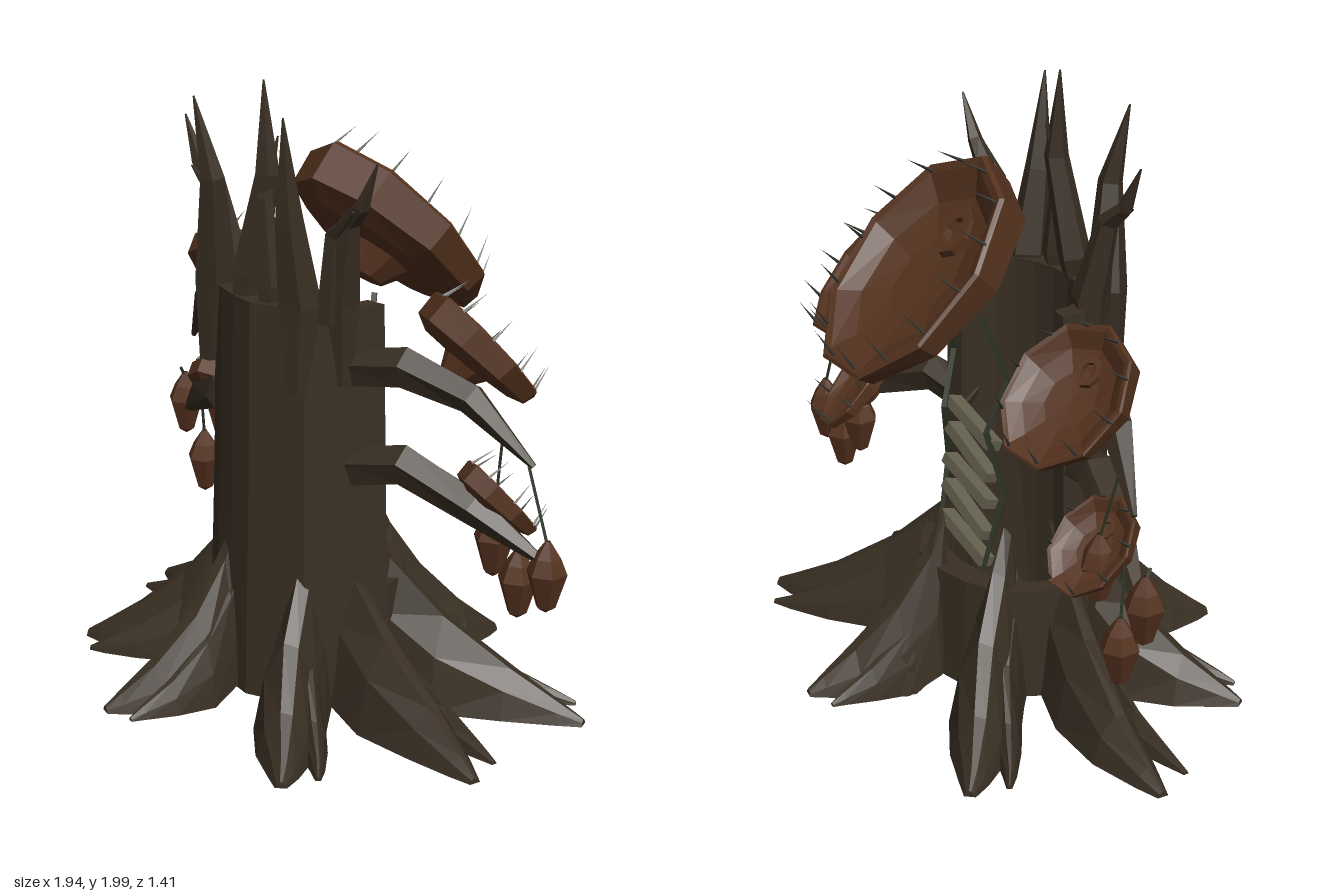
import * as THREE from 'three';

const mat = (name, color, side = THREE.FrontSide) => {
  const m = new THREE.MeshStandardMaterial({ color, flatShading: true, side });
  m.name = name;
  return m;
};

export function createModel() {
  const model = new THREE.Group();
  model.name = 'carnivorousStump';
  const bark = mat('bark', 0x392f23, THREE.DoubleSide);
  const petal = mat('petal brown', 0x53311d, THREE.DoubleSide);
  const vine = mat('vine green', 0x2c3424);
  const thorn = mat('thorn grey', 0x3b3a33);
  const slat = mat('weathered slat', 0x65624f);
  const V = (x, y, z) => new THREE.Vector3(x, y, z);

  const add = (geo, material, name, parent = model) => {
    const m = new THREE.Mesh(geo, material);
    m.name = name;
    parent.add(m);
    return m;
  };

  // Skin a list of equal-length closed rings, closing both ends
  function loft(rings) {
    const n = rings[0].length, pos = [], idx = [];
    rings.forEach(r => r.forEach(p => pos.push(p.x, p.y, p.z)));
    for (let i = 0; i < rings.length - 1; i++) for (let j = 0; j < n; j++) {
      const a = i * n + j, b = i * n + (j + 1) % n;
      idx.push(a, b, b + n, a, b + n, a + n);
    }
    const last = (rings.length - 1) * n;
    for (let j = 1; j < n - 1; j++) idx.push(0, j + 1, j, last, last + j, last + j + 1);
    const g = new THREE.BufferGeometry();
    g.setAttribute('position', new THREE.Float32BufferAttribute(pos, 3));
    g.setIndex(idx);
    g.computeVertexNormals();
    return g;
  }

  // Tapered limb through [x, y, z, radius] points
  function limb(pts, sides = 5) {
    const c = pts.map(p => V(p[0], p[1], p[2]));
    return loft(c.map((p, i) => {
      const t = c[Math.min(i + 1, c.length - 1)].clone().sub(c[Math.max(i - 1, 0)]).normalize();
      const u = V(0, 0, 1).cross(t).normalize(), w = t.clone().cross(u);
      return Array.from({ length: sides }, (_, j) => {
        const a = j / sides * Math.PI * 2;
        return p.clone().addScaledVector(u, Math.cos(a) * pts[i][3]).addScaledVector(w, Math.sin(a) * pts[i][3]);
      });
    }));
  }

  // Wall with a curved plan, extruded upward and flared toward the ground
  function wall(from, to, segs, y0, y1, name) {
    const out = [], inn = [];
    for (let i = 0; i <= segs; i++) {
      const a = from + (to - from) * i / segs, k = 1 + 0.03 * Math.sin(i * 2.4);
      out.push(new THREE.Vector2(Math.sin(a) * 0.32 * k, -Math.cos(a) * 0.275 * k));
      inn.unshift(new THREE.Vector2(Math.sin(a) * 0.26, -Math.cos(a) * 0.19));
    }
    const g = new THREE.ExtrudeGeometry(new THREE.Shape([...out, ...inn]), { depth: y1 - y0, steps: 5, bevelEnabled: false });
    g.rotateX(-Math.PI / 2).translate(0, y0, 0);
    const p = g.attributes.position;
    for (let i = 0; i < p.count; i++) {
      const y = p.getY(i), s = y < 0.7 ? 1.03 + (0.7 - y) * 0.12 : 1.03 - (y - 0.7) * 0.07;
      p.setX(i, p.getX(i) * s);
      p.setZ(i, p.getZ(i) * s);
    }
    g.computeVertexNormals();
    add(g, bark, name);
  }
  wall(-1.68, 1.68, 11, 0.04, 1.34, 'trunkShell');
  wall(1.6, Math.PI * 2 - 1.6, 8, 0.04, 0.42, 'lowBackWall');

  // Roots: ridged sections sweeping from the trunk to a tip on the ground
  const stations = [[-0.14, 0.6, 0.5], [0, 0.48, 0.85], [0.28, 0.31, 1], [0.62, 0.16, 0.8], [0.88, 0.07, 0.4], [1, 0.03, 0.16]];
  const section = [[-1, 0], [-0.7, 0.6], [-0.15, 1], [0.25, 0.95], [0.75, 0.5], [1, 0]];
  function root(x, z, width, lift, name) {
    const L = Math.hypot(x, z), d = V(x / L, 0, z / L), s = V(d.z, 0, -d.x);
    add(loft(stations.map(([f, h, w], i) => section.map(([a, b]) => {
      const sway = 0.03 * Math.sin(f * 4 + x * 5) * (1 - f);
      const p = d.clone().multiplyScalar(0.3 + f * (L - 0.3)).addScaledVector(s, a * w * width + sway);
      const low = i < 2 ? 0.05 : 0.01;
      p.y = low + Math.max(h * lift - low, 0.01) * b;
      return p;
    }))), bark, name);
  }
  const tips = [[-0.95, -0.1], [-0.69, 0.42], [-0.17, 0.7], [0.57, 0.57], [0.91, 0.1], [0.85, -0.42], [0.15, -0.7], [-0.62, -0.58]];
  tips.forEach(([x, z]) => {
    root(x, z, 0.115, 1, 'root');
    const a = 0.14, k = 0.94;
    root((x * Math.cos(a) + z * Math.sin(a)) * k, (z * Math.cos(a) - x * Math.sin(a)) * k, 0.055, 0.75, 'sideRoot');
  });

  // Splintered spikes around the broken top
  const spikes = [
    [[-0.24, 1.08, 0.22, 0.03], [-0.22, 1.35, 0.2, 0.07], [-0.18, 1.68, 0.24, 0.04], [-0.23, 1.93, 0.27, 0.003]],
    [[0.22, 1.08, 0.23, 0.03], [0.2, 1.35, 0.2, 0.07], [0.2, 1.62, 0.24, 0.045], [0.21, 1.93, 0.27, 0.003]],
    [[-0.04, 1.25, 0.23, 0.03], [-0.04, 1.4, 0.21, 0.055], [0.02, 1.72, 0.18, 0.04], [-0.01, 2.0, 0.17, 0.003]],
    [[0.07, 1.25, 0.23, 0.02], [0.07, 1.38, 0.21, 0.04], [0.03, 1.65, 0.2, 0.025], [0.02, 1.83, 0.14, 0.003]]];
  for (const s of [-1, 1]) spikes.push(
    [[s * 0.28, 1.1, 0.1, 0.03], [s * 0.27, 1.36, 0.1, 0.06], [s * 0.33, 1.62, 0.12, 0.035], [s * 0.4, 1.68, 0.13, 0.025], [s * 0.47, 1.82, 0.13, 0.003]],
    [[s * 0.26, 1.3, 0.14, 0.04], [s * 0.29, 1.58, 0.14, 0.03], [s * 0.4, 1.67, 0.16, 0.003]]);
  spikes.forEach(p => add(limb(p), bark, 'trunkSpike'));

  // Trap flowers: thick tilted bowls on a knob, deeper on the upper side, rimmed with thorns
  const profile = [[0, -0.66], [0.22, -0.66], [0.36, -0.42], [0.72, -0.4], [0.96, -0.3], [1, -0.03], [0.97, 0],
    [0.9, -0.02], [0.7, -0.16], [0.4, -0.24]];
  const throat = [[0.22, -0.03], [0.2, 0.06], [0.12, 0.06], [0.1, -0.02], [0, -0.02]];
  const lathe = (pts, sides) => new THREE.LatheGeometry(pts.map(p => new THREE.Vector2(...p)), sides);
  function flower(x, y, z, rx, rz, roll, thorns) {
    const g = new THREE.Group(), ry = (rx + rz) / 2;
    g.name = 'trapFlower';
    const bowl = lathe([...profile, [0, -0.26]], 9), p = bowl.attributes.position;
    for (let i = 0; i < p.count; i++) p.setY(i, p.getY(i) * (1 + 0.4 * p.getZ(i)));
    add(bowl.scale(rx, ry, rz), petal, 'bowl', g);
    add(lathe(throat, 8).scale(rx, ry, rz).translate(0, -ry * 0.26, rz * 0.4), petal, 'throat', g);
    for (let i = 0; i < thorns; i++) {
      const a = (i + 0.5) / thorns * Math.PI * 2, len = 0.06 + rz * 0.15;
      const t = add(new THREE.ConeGeometry(0.006, len, 4), thorn, 'thorn', g);
      t.position.set(Math.sin(a) * rx * 0.87, len * 0.42, Math.cos(a) * rz * 0.87);
      t.rotation.set(-Math.cos(a) * 0.25, 0, Math.sin(a) * 0.25);
    }
    g.position.set(x, y, z);
    g.rotation.set(-0.83, 0, -roll);
    model.add(g);
  }
  flower(0, 1.49, -0.375, 0.3, 0.4, 0, 14);

  // Side branches with their flowers
  for (const s of [-1, 1]) {
    add(limb([[s * 0.27, 1.14, 0.05, 0.06], [s * 0.46, 1.18, 0, 0.065], [s * 0.66, 1.12, -0.08, 0.05], [s * 0.85, 0.94, -0.16, 0.01]]), bark, 'upperBranch');
    add(limb([[s * 0.27, 0.82, 0.05, 0.065], [s * 0.46, 0.87, 0, 0.065], [s * 0.68, 0.78, -0.08, 0.055], [s * 0.92, 0.64, -0.17, 0.01]]), bark, 'lowerBranch');
    flower(s * 0.58, 1.24, -0.22, 0.2, 0.24, s * 0.25, 10);
    flower(s * 0.69, 0.79, -0.2, 0.13, 0.17, s * 0.25, 8);
  }

  // Hanging pods: x, bottom y, string top x and y
  const pods = [[-0.92, 0.55, -0.92, 0.8], [-0.81, 0.36, -0.8, 0.76], [-0.7, 0.59, -0.76, 1.03],
    [0.68, 0.53, 0.73, 1.03], [0.79, 0.43, 0.79, 0.72], [0.91, 0.49, 0.84, 0.94]];
  pods.forEach(([x, y, sx, sy]) => {
    add(lathe([[0, 0], [0.03, 0.02], [0.063, 0.13], [0.042, 0.18], [0.008, 0.23]], 6), petal, 'pod').position.set(x, y, -0.17);
    add(limb([[x, y + 0.21, -0.17, 0.006], [sx, sy, -0.15, 0.006]], 4), vine, 'podString');
  });

  // Vine ladder hanging in the open back
  for (const s of [-1, 1]) add(limb([[s * 0.1, 1.3, -0.18, 0.012], [s * 0.15, 1.1, -0.12, 0.012], [s * 0.12, 0.92, -0.18, 0.012],
    [s * 0.16, 0.72, -0.14, 0.012], [s * 0.13, 0.45, -0.2, 0.01]], 4), vine, 'ladderVine');
  for (let i = 0; i < 5; i++) {
    const b = add(new THREE.BoxGeometry(0.27, 0.035, 0.05), slat, 'ladderSlat');
    b.position.set(0, 0.5 + i * 0.1, -0.18 + i * 0.008);
    b.rotation.set(0.3, 0, 0.22 + (i % 2) * 0.08);
  }
  return model;
}
